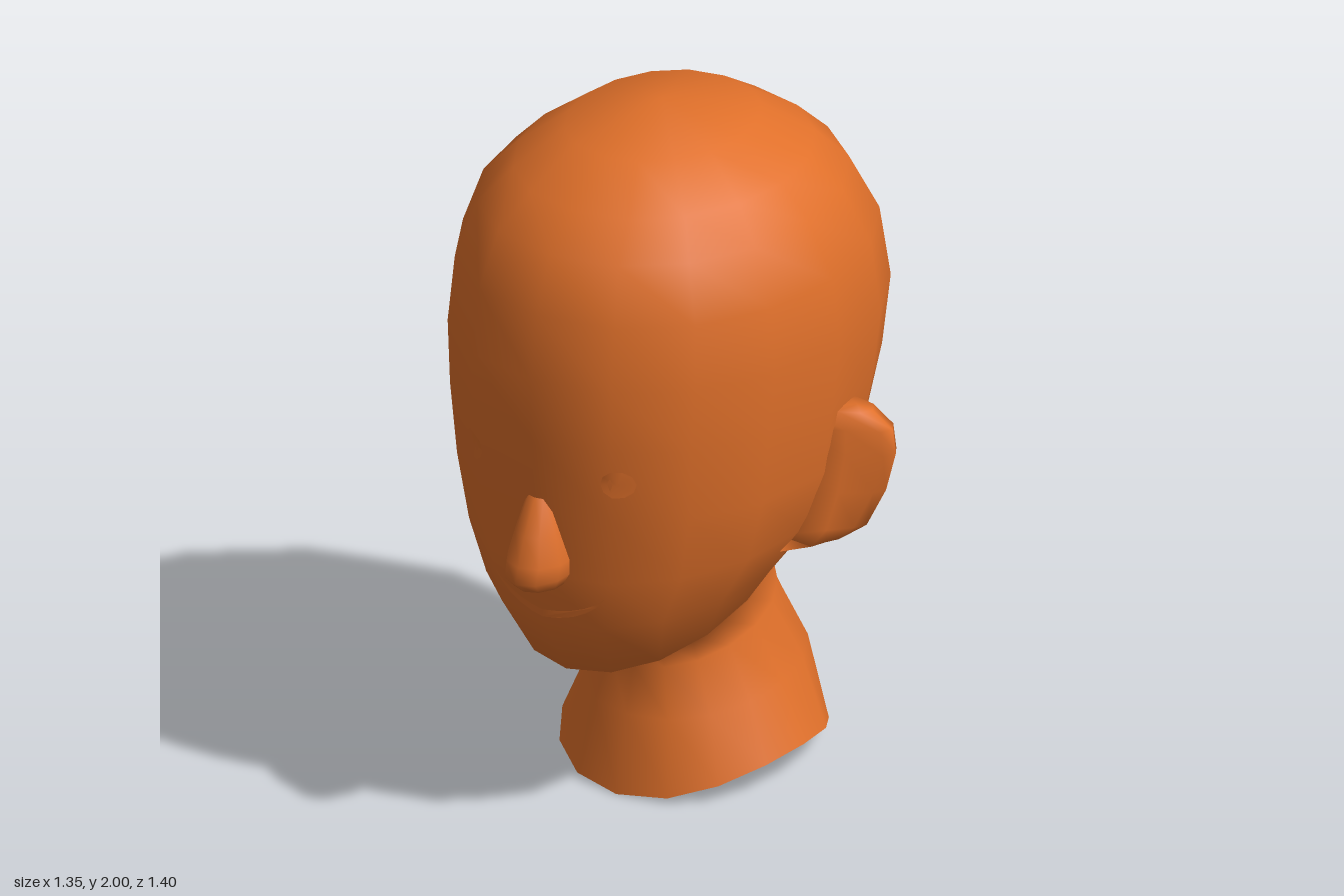
import * as THREE from 'three';

const material = new THREE.MeshStandardMaterial({ color: 0xe0702a, side: THREE.DoubleSide });

// Skin over rings of [x, y, z] points listed top to bottom, each running front -> +x -> back.
function loft(rings, capTop, capBottom) {
  const n = rings[0].length;
  const points = rings.flat();
  const index = [];
  for (let i = 0; i < rings.length - 1; i++) {
    for (let j = 0; j < n; j++) {
      const a = i * n + j, b = i * n + (j + 1) % n;
      index.push(a, a + n, b + n, a, b + n, b);
    }
  }
  const cap = (center, start, flip) => {
    points.push(center);
    for (let j = 0; j < n; j++) {
      const a = start + j, b = start + (j + 1) % n;
      index.push(points.length - 1, flip ? b : a, flip ? a : b);
    }
  };
  if (capTop) cap(capTop, 0, false);
  if (capBottom) cap(capBottom, (rings.length - 1) * n, true);
  const geometry = new THREE.BufferGeometry();
  geometry.setAttribute('position', new THREE.Float32BufferAttribute(points.flat(), 3));
  geometry.setIndex(index);
  geometry.computeVertexNormals();
  return geometry;
}

function part(name, geometry) {
  const mesh = new THREE.Mesh(geometry, material);
  mesh.name = name;
  return mesh;
}

// Head and neck: tilted oval rings [front z, front y, back z, back y, half width, side lift]
function headGeometry() {
  const sections = [
    [0.29, 1.94, -0.30, 1.95, 0.25, 0],
    [0.43, 1.83, -0.45, 1.86, 0.39, 0],
    [0.54, 1.74, -0.55, 1.77, 0.48, 0],
    [0.60, 1.58, -0.65, 1.60, 0.545, 0],
    [0.63, 1.40, -0.70, 1.38, 0.56, 0],
    [0.63, 1.22, -0.67, 1.18, 0.545, 0],
    [0.605, 1.00, -0.61, 1.02, 0.525, 0],
    [0.58, 0.80, -0.53, 0.89, 0.48, 0],
    [0.565, 0.65, -0.43, 0.78, 0.40, 0],
    [0.46, 0.47, -0.37, 0.72, 0.31, 0],
    [0.33, 0.435, -0.37, 0.66, 0.25, 0],
    [0.17, 0.435, -0.37, 0.60, 0.22, 0],
    [0.14, 0.36, -0.40, 0.50, 0.22, 0],
    [0.17, 0.22, -0.49, 0.31, 0.29, 0],
    [0.22, 0.00, -0.53, 0.00, 0.36, 0.1],
  ];
  const sides = 16;
  const rings = sections.map(([zf, yf, zb, yb, w, lift]) =>
    Array.from({ length: sides }, (_, j) => {
      const t = (j / sides) * Math.PI * 2;
      const s = Math.sin(t), f = (1 + Math.cos(t)) / 2;
      const x = Math.sign(s) * Math.pow(Math.abs(s), 0.93) * w;
      return [x, yb + (yf - yb) * f + lift * s * s, zb + (zf - zb) * f];
    }));
  return loft(rings, [0, 2, 0]);
}

// Ear: wedge-shaped slices [y, outer x, outer z, root depth]
function earGeometry() {
  const slices = [
    [1.18, 0.61, -0.12, 0.04],
    [1.13, 0.665, -0.135, 0.09],
    [1.06, 0.675, -0.135, 0.12],
    [0.95, 0.65, -0.125, 0.14],
    [0.84, 0.60, -0.105, 0.14],
    [0.79, 0.53, -0.075, 0.11],
  ];
  const rings = slices.map(([y, x, z, d]) => [
    [0.44, y, z + d + 0.05],
    [(x + 0.46) / 2, y, z + 0.05 + d * 0.3],
    [x - 0.018, y, z + 0.035],
    [x, y, z],
    [x - 0.022, y, z - 0.035],
    [0.44, y, z - 0.06],
  ]);
  return loft(rings, [0.56, 1.185, -0.12], [0.45, 0.76, -0.04]);
}

// Nose: rounded slices [y, half width, front z]
function noseGeometry() {
  const slices = [
    [1.04, 0.04, 0.61],
    [0.94, 0.068, 0.662],
    [0.86, 0.09, 0.69],
    [0.815, 0.086, 0.705],
    [0.78, 0.065, 0.665],
  ];
  const back = 0.52, sides = 10;
  const rings = slices.map(([y, w, z]) => Array.from({ length: sides }, (_, j) => {
    const t = (j / sides) * Math.PI * 2;
    const c = Math.cos(t);
    return [w * Math.sin(t), y, c > 0 ? 0.58 + (z - 0.58) * c : 0.58 + (0.58 - back) * c];
  }));
  return loft(rings, [0, 1.045, 0.58], [0, 0.762, 0.61]);
}

// Lay a flat shape on the front of the face
function drape(geometry, head) {
  const ray = new THREE.Raycaster();
  const toBack = new THREE.Vector3(0, 0, -1);
  const p = geometry.attributes.position;
  for (let i = 0; i < p.count; i++) {
    ray.set(new THREE.Vector3(p.getX(i), p.getY(i), 3), toBack);
    const hit = ray.intersectObject(head)[0];
    if (hit) p.setZ(i, hit.point.z + 0.004);
  }
  geometry.computeVertexNormals();
  return geometry;
}

export function createModel() {
  const model = new THREE.Group();
  model.name = 'headBust';

  const head = part('headAndNeck', headGeometry());
  model.add(head, part('nose', noseGeometry()));

  // Ears and eyes, mirrored
  for (const [side, s] of [['left', 1], ['right', -1]]) {
    const ear = part(side + 'Ear', earGeometry());
    ear.scale.x = s;
    const eye = new THREE.CircleGeometry(0.042, 10).translate(0.236 * s, 1.12, 0);
    model.add(ear, part(side + 'Eye', drape(eye, head)));
  }

  // Smiling mouth: thin crescent
  const smile = new THREE.Shape();
  smile.moveTo(-0.18, 0.755);
  smile.bezierCurveTo(-0.11, 0.64, 0.11, 0.64, 0.18, 0.755);
  smile.bezierCurveTo(0.10, 0.67, -0.10, 0.67, -0.18, 0.755);
  model.add(part('mouth', drape(new THREE.ShapeGeometry(smile, 10), head)));

  return model;
}
